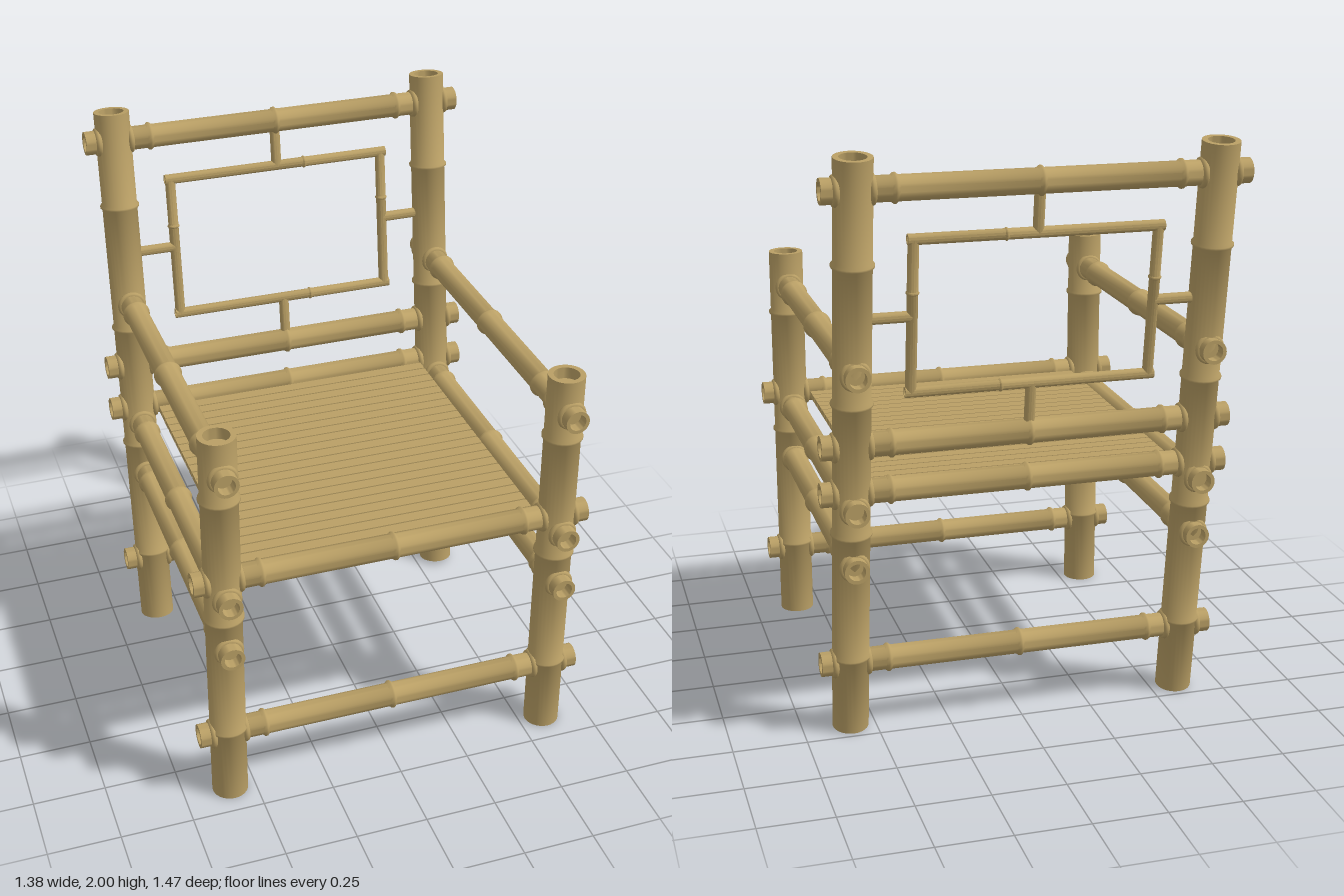
import * as THREE from 'three';
import { toCreasedNormals } from 'three/addons/utils/BufferGeometryUtils.js';

const bamboo = new THREE.MeshStandardMaterial({ color: 0xb99f65 });
bamboo.name = 'bamboo';

const POST_X = 0.587, FRONT_Z = 0.63, POST_R = 0.062, RAIL_R = 0.041, STICK_R = 0.018;
const backZ = (y) => -0.42 - 0.126 * y; // axis of the leaning back posts
const v = (x, y, z) => new THREE.Vector3(x, y, z);

// Bamboo pole from a to b; nodes are distances from a, ends are recessed
function pole(name, a, b, r, nodes = [], recess = 0.04) {
  const len = a.distanceTo(b), inner = r * 0.7;
  const bump = Math.min(0.007, r * 0.2), w = bump * 1.6;
  const pts = [[0, recess], [inner, recess], [inner, 0], [r, 0]];
  for (const n of nodes) pts.push([r, n - w], [r + bump, n - w * 0.3], [r + bump, n + w * 0.3], [r, n + w]);
  pts.push([r, len], [inner, len], [inner, len - recess], [0, len - recess]);
  const lathe = new THREE.LatheGeometry(pts.map(([x, y]) => new THREE.Vector2(x, y)), r > 0.03 ? 28 : 14);
  const mesh = new THREE.Mesh(toCreasedNormals(lathe, 0.8), bamboo);
  mesh.name = name;
  mesh.position.copy(a);
  mesh.quaternion.setFromUnitVectors(v(0, 1, 0), b.clone().sub(a).normalize());
  return mesh;
}

// Swollen collar where a rail passes through the face of a post
function collar(position, axis) {
  const mesh = new THREE.Mesh(new THREE.TorusGeometry(RAIL_R - 0.001, 0.011, 8, 28), bamboo);
  mesh.name = 'jointCollar';
  mesh.position.copy(position);
  if (axis === 'x') mesh.rotation.y = Math.PI / 2;
  return mesh;
}

export function createModel() {
  const chair = new THREE.Group();
  chair.name = 'bambooArmchair';
  const nodeSteps = [0.28, 0.74, 1.2, 1.66];

  // Posts
  for (const s of [1, -1]) {
    const side = s > 0 ? 'left' : 'right';
    chair.add(pole(side + 'FrontPost', v(s * POST_X, 0, FRONT_Z), v(s * POST_X, 1.43, FRONT_Z), POST_R, nodeSteps.slice(0, 3)));
    chair.add(pole(side + 'BackPost', v(s * POST_X, 0.008, backZ(0)), v(s * POST_X, 1.992, backZ(1.992)), POST_R, nodeSteps));
  }

  // Cross rails, running left to right
  const crossRails = [
    ['frontStretcher', 0.255, FRONT_Z], ['seatFrontRail', 0.885, FRONT_Z],
    ['backStretcher', 0.255, backZ(0.255)], ['seatBackRail', 0.885, backZ(0.885)],
    ['lowerBackRail', 1.05, backZ(1.05)], ['topBackRail', 1.89, backZ(1.89)],
  ];
  for (const [name, y, z] of crossRails) {
    chair.add(pole(name, v(-0.69, y, z), v(0.69, y, z), RAIL_R, [0.23, 0.69, 1.15]));
    for (const s of [1, -1])
      for (const d of [-0.057, 0.057]) chair.add(collar(v(s * POST_X + d, y, z), 'x'));
  }

  // Side rails, running back to front
  const sideRails = [
    ['armrest', 1.305, -0.685, 0.005], ['seatSideRail', 0.84, -0.63, 0.065], ['sideStretcher', 0.635, -0.6, 0.085],
  ];
  for (const s of [1, -1]) {
    const side = s > 0 ? 'left' : 'right';
    for (const [name, y, zBack, zMid] of sideRails) {
      const nodes = [-0.46, 0, 0.46].map((d) => zMid + d - zBack);
      chair.add(pole(side + name[0].toUpperCase() + name.slice(1),
        v(s * POST_X, y, zBack), v(s * POST_X, y, 0.735), RAIL_R, nodes));
      for (const z of [FRONT_Z, backZ(y)])
        for (const d of [-0.057, 0.057]) chair.add(collar(v(s * POST_X, y, z + d), 'z'));
    }
  }

  // Seat slats
  const seat = new THREE.Group();
  seat.name = 'seat';
  const slatGeometry = new THREE.BoxGeometry(1.04, 0.022, 0.042);
  for (let i = 0; i < 22; i++) {
    const slat = new THREE.Mesh(slatGeometry, bamboo);
    slat.name = 'seatSlat';
    slat.position.set(0, 0.884, 0.55 - i * 0.0479);
    seat.add(slat);
  }
  chair.add(seat);

  // Open rectangular frame in the backrest, held by four short struts
  const back = new THREE.Group();
  back.name = 'backrestFrame';
  const stick = (name, x1, y1, x2, y2, nodes) =>
    back.add(pole(name, v(x1, y1, backZ(y1)), v(x2, y2, backZ(y2)), STICK_R, nodes, 0.005));
  stick('frameTopBar', -0.417, 1.725, 0.417, 1.725, [0.52]);
  stick('frameBottomBar', -0.417, 1.22, 0.417, 1.22, [0.52]);
  stick('topStrut', 0, 1.725, 0, 1.88);
  stick('bottomStrut', 0, 1.06, 0, 1.22);
  for (const s of [1, -1]) {
    stick('frameUpright', s * 0.398, 1.22, s * 0.398, 1.725, [0.335]);
    stick('sideStrut', s * 0.398, 1.475, s * 0.56, 1.475);
  }
  chair.add(back);
  return chair;
}
